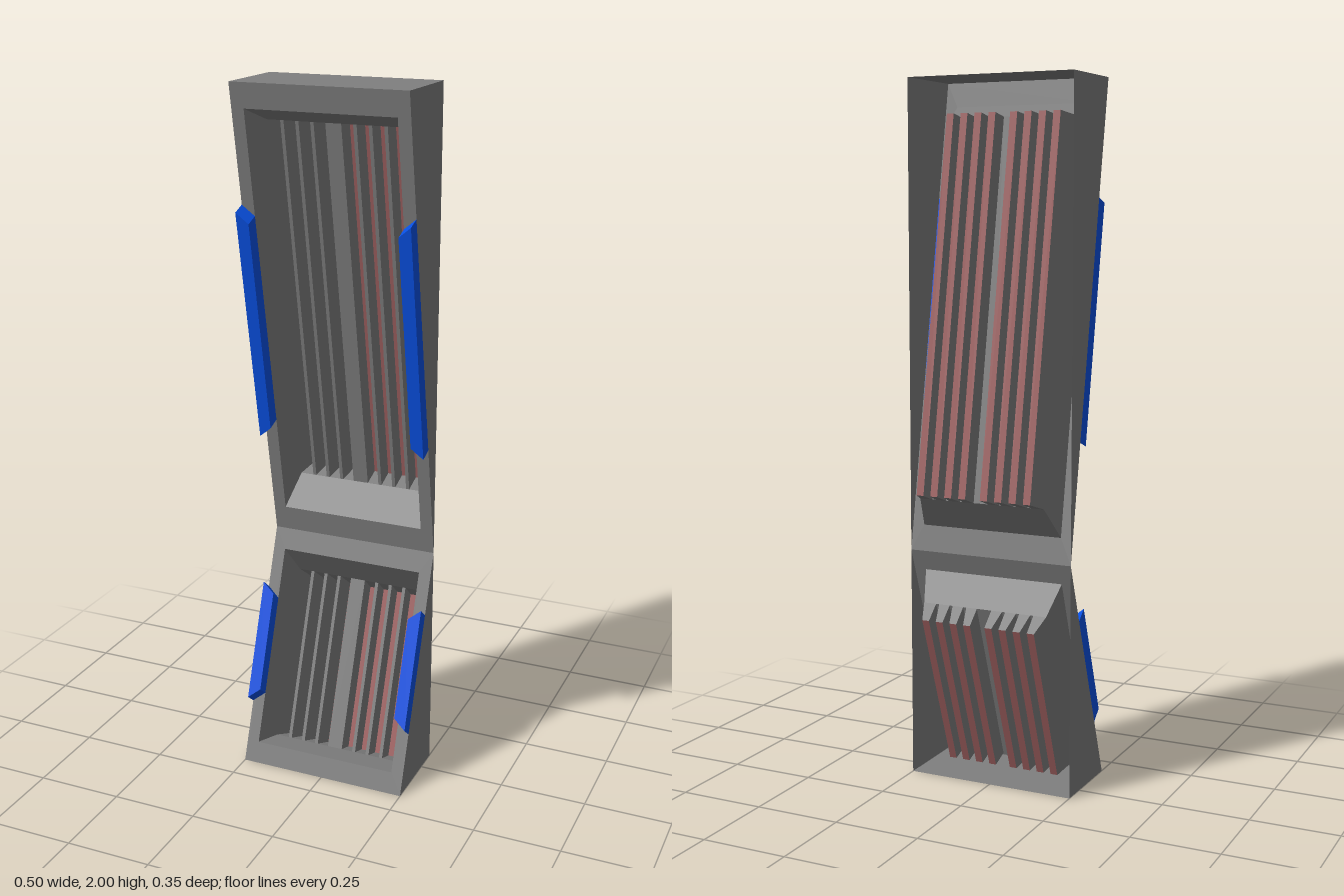
import * as THREE from 'three';

const HALF = 0.25, HINGE_Y = 0.667, BACK = -0.07, FRONT = 0.173;
const FLOOR = -0.08, GROOVE = -0.135;        // depths behind the panel face
const OPEN_X = 0.214, FLOOR_X = 0.191;       // tray half widths, mouth and floor

const grey = new THREE.MeshStandardMaterial({ color: 0x7f7f7f, side: THREE.DoubleSide, flatShading: true });
const red = new THREE.MeshStandardMaterial({ color: 0x9e6060, side: THREE.DoubleSide, flatShading: true });
const blue = new THREE.MeshStandardMaterial({ color: 0x0850e4, flatShading: true });

function named(geometry, material, name) {
  const mesh = new THREE.Mesh(geometry, material);
  mesh.name = name;
  return mesh;
}

// Builds one mesh from a list of quads, each with four [x, y, z] corners
function quads(list, material, name) {
  const pos = [];
  for (const [a, b, c, d] of list) pos.push(...a, ...b, ...c, ...a, ...c, ...d);
  const g = new THREE.BufferGeometry();
  g.setAttribute('position', new THREE.Float32BufferAttribute(pos, 3));
  g.computeVertexNormals();
  return named(g, material, name);
}

const strip = (x0, x1, s0, s1, z) => [[x0, s0, z], [x1, s0, z], [x1, s1, z], [x0, s1, z]];
const points = (list) => list.map(([x, y]) => new THREE.Vector2(x, y));

// One leaning panel; local y runs up its face and local z points out of it
function makePanel({ name, endY, open, floor, groove, bar }) {
  const group = new THREE.Group();
  group.name = name;
  const rise = endY - HINGE_Y, run = FRONT - BACK;
  const end = Math.sign(rise) * Math.hypot(rise, run);

  const face = new THREE.Group();
  face.name = name + 'Face';
  face.position.set(0, HINGE_Y, BACK);
  face.rotation.x = Math.atan(run / rise);
  group.add(face);

  // Flat frame around the tray mouth
  const outline = new THREE.Shape(points([[-HALF, 0], [HALF, 0], [HALF, end], [-HALF, end]]));
  outline.holes.push(new THREE.Path(points([
    [-OPEN_X, open[0]], [-OPEN_X, open[1]], [OPEN_X, open[1]], [OPEN_X, open[0]]])));
  face.add(named(new THREE.ShapeGeometry(outline), grey, 'frame'));

  // Sloping tray walls
  const mouth = strip(-OPEN_X, OPEN_X, ...open, 0), base = strip(-FLOOR_X, FLOOR_X, ...floor, FLOOR);
  face.add(quads(mouth.map((p, i) => {
    const j = (i + 1) % 4;
    return [p, mouth[j], base[j], base[i]];
  }), grey, 'trayWalls'));

  // Corrugated floor: lands, grooves with a slanted outer wall, red groove bottoms
  const [s0, s1] = floor, [g0, g1] = groove;
  const inner = (k) => 0.0225 + 0.0433 * k;
  const lands = [strip(-inner(0), inner(0), s0, s1, FLOOR)], walls = [], bottoms = [];
  for (const m of [-1, 1]) {
    for (let k = 0; k < 4; k++) {
      const a = m * inner(k), b = a + m * 0.0215;
      const c = k < 3 ? b + m * 0.012 : m * FLOOR_X;
      if (k < 3) lands.push(strip(c, m * inner(k + 1), s0, s1, FLOOR));
      walls.push([[a, s0, FLOOR], [a, s1, FLOOR], [a, g1, GROOVE], [a, g0, GROOVE]]);
      walls.push([[c, s0, FLOOR], [c, s1, FLOOR], [b, g1, GROOVE], [b, g0, GROOVE]]);
      for (const [s, g] of [[s0, g0], [s1, g1]]) {
        walls.push([[a, s, FLOOR], [c, s, FLOOR], [b, g, GROOVE], [a, g, GROOVE]]);
      }
      bottoms.push(strip(a, b, g0, g1, GROOVE));
    }
  }
  face.add(quads(lands, grey, 'trayFloor'));
  face.add(quads(walls, grey, 'grooveWalls'));
  face.add(quads(bottoms, red, 'grooveBottoms'));

  // Blue edge bars with mitred ends that lean towards the hinge line
  const lean = new THREE.Matrix4().makeShear(0, 0, 0, 0, 0, -run / rise);
  for (const m of [-1, 1]) {
    const shape = new THREE.Shape(points([
      [m * HALF, bar[0]], [m * HALF, bar[1]], [m * OPEN_X, bar[1] - 0.03], [m * OPEN_X, bar[0] + 0.03]]));
    const g = new THREE.ExtrudeGeometry(shape, { depth: 0.041, bevelEnabled: false }).applyMatrix4(lean);
    face.add(named(g, blue, m > 0 ? 'leftBar' : 'rightBar'));
  }

  // Triangular side walls and the flat end plate; the back stays open
  for (const m of [-1, 1]) {
    const x = m * HALF;
    const g = new THREE.BufferGeometry().setFromPoints([
      new THREE.Vector3(x, HINGE_Y, BACK), new THREE.Vector3(x, endY, BACK), new THREE.Vector3(x, endY, FRONT)]);
    g.setIndex(m * rise < 0 ? [0, 2, 1] : [0, 1, 2]);
    g.computeVertexNormals();
    group.add(named(g, grey, m > 0 ? 'leftWall' : 'rightWall'));
  }
  const plate = [[-HALF, endY, FRONT], [HALF, endY, FRONT], [HALF, endY, BACK], [-HALF, endY, BACK]];
  group.add(quads([rise > 0 ? plate : plate.reverse()], grey, 'endPlate'));
  return group;
}

export function createModel() {
  const model = new THREE.Group();
  model.name = 'ventPanel';
  model.add(makePanel({
    name: 'upperPanel', endY: 2,
    open: [0.075, 1.285], floor: [0.151, 1.233], groove: [0.16, 1.233], bar: [0.34, 1.02],
  }));
  model.add(makePanel({
    name: 'lowerPanel', endY: 0,
    open: [-0.648, -0.063], floor: [-0.633, -0.123], groove: [-0.633, -0.145], bar: [-0.529, -0.181],
  }));
  return model;
}
